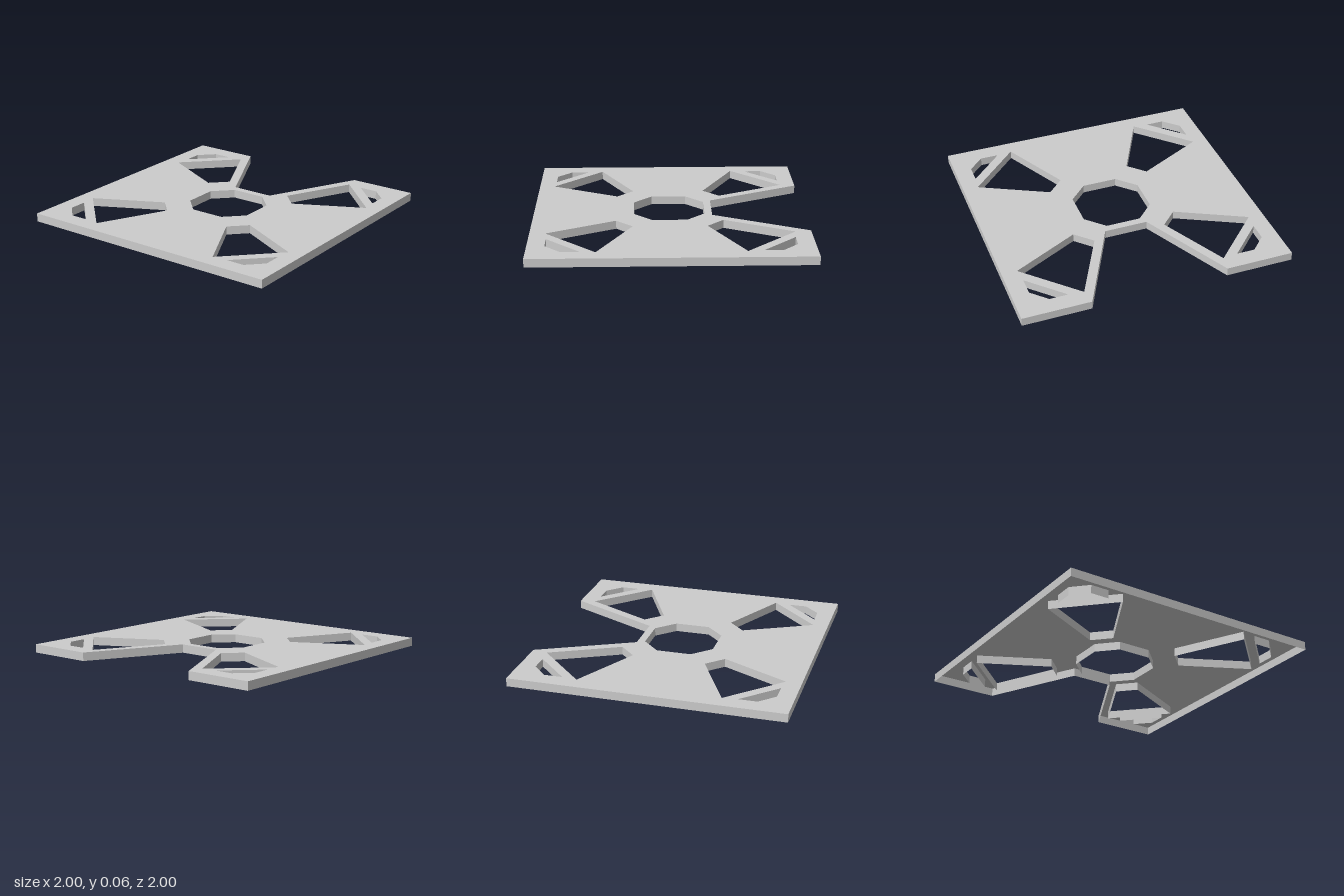
import * as THREE from 'three';

const H = 0.062; // skirt height

export function createModel() {
  const group = new THREE.Group();
  group.name = 'hollowPlate';
  const material = new THREE.MeshStandardMaterial({
    color: 0xcccccc, flatShading: true, side: THREE.DoubleSide,
  });

  const add = (geometry, name) => {
    const mesh = new THREE.Mesh(geometry, material);
    mesh.name = name;
    group.add(mesh);
  };

  // Square outline with a flared notch in the +x side
  const outline = [
    [-1, -1], [1, -1], [1, -0.5], [0.315, -0.16],
    [0.315, 0.16], [1, 0.5], [1, 1], [-1, 1],
  ];

  // Openings as loops of [x, z]
  const a = 0.26, b = 0.128;
  const openings = [{
    name: 'centreOpening',
    loop: [[a, -b], [a, b], [b, a], [-b, a], [-a, b], [-a, -b], [-b, -a], [b, -a]],
  }];
  const wedge = [[0.27, 0.39], [0.39, 0.27], [0.887, 0.52], [0.52, 0.887]];
  const corner = [[0.63, 0.875], [0.765, 0.875], [0.875, 0.765], [0.875, 0.63]];
  for (const sx of [-1, 1]) {
    for (const sz of [-1, 1]) {
      const mirror = (loop) => loop.map(([x, z]) => [sx * x, sz * z]);
      openings.push({ name: 'wedgeOpening', loop: mirror(wedge) });
      openings.push({ name: 'cornerOpening', loop: mirror(corner) });
    }
  }

  // Thin top sheet
  const points = (loop) => loop.map(([x, z]) => new THREE.Vector2(x, -z));
  const shape = new THREE.Shape(points(outline));
  for (const { loop } of openings) shape.holes.push(new THREE.Path(points(loop)));
  add(new THREE.ShapeGeometry(shape).rotateX(-Math.PI / 2).translate(0, H, 0), 'topSheet');

  // Thin wall hanging down from a closed loop; the underside stays open
  const skirt = (loop) => {
    const positions = [];
    loop.forEach(([x0, z0], i) => {
      const [x1, z1] = loop[(i + 1) % loop.length];
      positions.push(x0, 0, z0, x0, H, z0, x1, H, z1);
      positions.push(x0, 0, z0, x1, H, z1, x1, 0, z1);
    });
    const geometry = new THREE.BufferGeometry();
    geometry.setAttribute('position', new THREE.Float32BufferAttribute(positions, 3));
    geometry.computeVertexNormals();
    return geometry;
  };
  add(skirt(outline), 'outerSkirt');
  for (const { name, loop } of openings) {
    // Orient each loop so the wall faces into its opening
    const reverse = THREE.ShapeUtils.area(loop.map(([x, z]) => new THREE.Vector2(x, z))) > 0;
    add(skirt(reverse ? [...loop].reverse() : loop), name + 'Wall');
  }

  return group;
}
